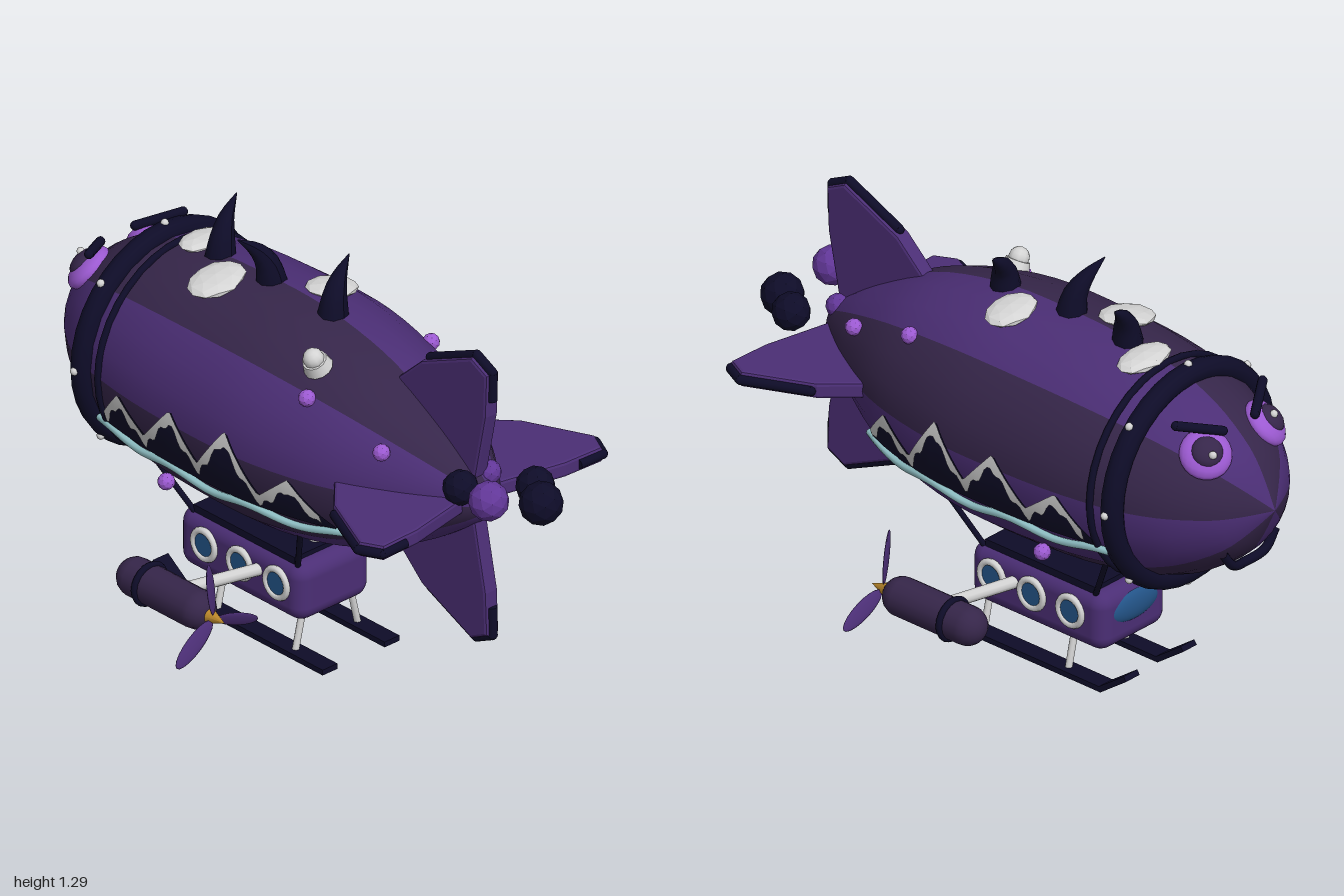
import * as THREE from 'three';
import { RoundedBoxGeometry } from 'three/addons/geometries/RoundedBoxGeometry.js';

const AXIS = 0.76; // height of the envelope's long axis
const V = (x, y, z) => new THREE.Vector3(x, y, z);

function makeMaterials() {
  const colors = {
    purple: 0x4b2e75, duskPurple: 0x36264a, navy: 0x0e0c28, white: 0xd4d4d4, teal: 0x8fbfc4,
    glassBlue: 0x235488, gold: 0xb8862a, smokeViolet: 0x623798, glowViolet: 0x9c5ad2,
  };
  const mats = {};
  for (const [name, color] of Object.entries(colors)) {
    mats[name] = new THREE.MeshStandardMaterial({ color });
    mats[name].name = name;
  }
  return mats;
}

// Envelope profile as (radius, z), nose to tail
const profile = new THREE.SplineCurve([
  [0, -1], [0.095, -0.955], [0.175, -0.9], [0.255, -0.8], [0.305, -0.7], [0.335, -0.6], [0.365, -0.4],
  [0.376, -0.15], [0.37, 0.05], [0.335, 0.25], [0.285, 0.4], [0.205, 0.55], [0.14, 0.65], [0.06, 0.75], [0, 0.78],
].map(([r, z]) => new THREE.Vector2(r, z))).getPoints(42).map((p) => new THREE.Vector2(Math.max(p.x, 0), p.y));

function radiusAt(z) {
  for (let i = 1; i < profile.length; i++) {
    const a = profile[i - 1], b = profile[i];
    if (z <= b.y) return THREE.MathUtils.lerp(a.x, b.x, (z - a.y) / (b.y - a.y));
  }
  return 0;
}

// Point on the envelope's side at height y, lifted by off
function sidePoint(side, y, z, off) {
  const r = radiusAt(z) + off;
  return V(side * Math.sqrt(Math.max(r * r - (y - AXIS) ** 2, 0)), y, z);
}

// Thin skin on the envelope's side between two height curves
function skin(side, z0, z1, low, high, off, n = 76, rows = 4) {
  const pos = [], idx = [];
  for (let i = 0; i <= n; i++) {
    const z = THREE.MathUtils.lerp(z0, z1, i / n);
    for (let j = 0; j <= rows; j++) {
      pos.push(...sidePoint(side, THREE.MathUtils.lerp(low(z), high(z), j / rows), z, off).toArray());
      if (i === n || j === rows) continue;
      const a = i * (rows + 1) + j, b = a + 1, c = a + rows + 1, d = c + 1;
      if (side > 0) idx.push(a, b, c, b, d, c);
      else idx.push(a, c, b, b, c, d);
    }
  }
  const g = new THREE.BufferGeometry();
  g.setAttribute('position', new THREE.Float32BufferAttribute(pos, 3));
  g.setIndex(idx);
  g.computeVertexNormals();
  return g;
}

// Tube narrowing to a point
function hornGeometry(points, radius) {
  const curve = new THREE.CatmullRomCurve3(points), n = 8, sides = 9;
  const g = new THREE.TubeGeometry(curve, n, radius, sides);
  const p = g.attributes.position, v = new THREE.Vector3();
  for (let i = 0; i < p.count; i++) {
    const t = Math.floor(i / (sides + 1)) / n;
    v.fromBufferAttribute(p, i).lerp(curve.getPointAt(t), t ** 1.4 * 0.97);
    p.setXYZ(i, v.x, v.y, v.z);
  }
  g.computeVertexNormals();
  return g;
}

// Faceted ball
function ballGeometry(r) {
  const g = new THREE.IcosahedronGeometry(r, 1);
  g.computeVertexNormals();
  return g;
}

export function createModel() {
  const m = makeMaterials();
  const model = new THREE.Group();
  model.name = 'airship';
  const ship = new THREE.Group();
  ship.name = 'airshipBody';
  ship.position.x = -0.0125;
  model.add(ship);

  const add = (name, geo, mat, pos = V(0, 0, 0), parent = ship) => {
    const mesh = new THREE.Mesh(geo, mat);
    mesh.name = name;
    mesh.position.copy(pos);
    parent.add(mesh);
    return mesh;
  };
  const rod = (name, a, b, r, mat, parent = ship) => {
    const d = b.clone().sub(a);
    const mesh = add(name, new THREE.CylinderGeometry(r, r, d.length(), 10), mat, a.clone().add(b).multiplyScalar(0.5), parent);
    mesh.quaternion.setFromUnitVectors(V(0, 1, 0), d.normalize());
    return mesh;
  };
  const tube = (name, pts, r, mat, n = 24) => add(name, new THREE.TubeGeometry(new THREE.CatmullRomCurve3(pts), n, r, 8), mat);

  // Envelope in eight alternating panels
  for (let i = 0; i < 8; i++) {
    const g = new THREE.LatheGeometry(profile, 3, i * Math.PI / 4, Math.PI / 4).rotateX(Math.PI / 2);
    add('envelopePanel', g, i % 2 ? m.purple : m.duskPurple, V(0, AXIS, 0));
  }

  // Collar bands and studs
  add('collarBand', new THREE.TorusGeometry(0.332, 0.036, 10, 36), m.navy, V(0, AXIS, -0.65));
  add('thinBand', new THREE.TorusGeometry(0.344, 0.011, 8, 36), m.navy, V(0, AXIS, -0.57));
  for (let i = 0; i < 8; i++) {
    const a = i * Math.PI / 4;
    add('collarStud', new THREE.SphereGeometry(0.013, 8, 6), m.white, V(0.365 * Math.cos(a), AXIS + 0.365 * Math.sin(a), -0.65));
  }

  // Four tail fins with edge trims
  const finShape = new THREE.Shape([[0.36, 0.24], [0.5, 0.37], [0.71, 0.465], [0.77, 0.435], [0.765, 0.3], [0.72, 0.08], [0.55, 0.1]]
    .map(([z, r]) => new THREE.Vector2(z, r)));
  const finGeo = new THREE.ExtrudeGeometry(finShape, { depth: 0.032, bevelThickness: 0.01, bevelSize: 0.01, bevelSegments: 2 })
    .translate(0, 0, -0.016).rotateY(-Math.PI / 2);
  const trim = [V(0, 0.388, 0.51), V(0, 0.478, 0.71), V(0, 0.445, 0.778), V(0, 0.35, 0.776)];
  for (let k = 0; k < 4; k++) {
    const fin = new THREE.Group();
    fin.name = 'tailFin';
    fin.position.y = AXIS;
    fin.rotation.z = k * Math.PI / 2;
    ship.add(fin);
    add('finBlade', finGeo, m.purple, V(0, 0, 0), fin);
    for (let i = 0; i < 3; i++) {
      rod('finTrim', trim[i], trim[i + 1], 0.016, m.navy, fin);
      add('finTrimJoint', new THREE.SphereGeometry(0.016, 8, 6), m.navy, trim[i], fin);
    }
  }

  // Smoke puffs behind the tail
  for (const [x, y, z, r, mat] of [
    [-0.105, 0.85, 0.875, 0.062, m.smokeViolet], [0.12, 0.8, 0.835, 0.06, m.navy], [0.06, 0.8, 0.925, 0.068, m.navy],
    [-0.075, 0.82, 0.72, 0.055, m.navy], [0.04, 0.83, 0.72, 0.038, m.smokeViolet],
  ]) add('smokePuff', ballGeometry(r), mat, V(x, y, z));

  // Horns along the spine, leaning to alternate sides
  [[0.07, 1, 1.265], [-0.19, -1, 1.285], [-0.42, 1, 1.27]].forEach(([z, s, top]) => {
    const base = AXIS + radiusAt(z) - 0.03;
    add('spineHorn', hornGeometry([V(0, base, z + 0.01), V(s * 0.015, base + 0.08, z + 0.005),
      V(s * 0.045, top - 0.05, z - 0.01), V(s * 0.105, top, z - 0.03)], 0.05), m.navy);
  });

  // Pale patches and a barnacle lying on the top
  const onTop = (mesh, x) => mesh.quaternion.setFromUnitVectors(V(0, 1, 0), V(x, 0.37, 0).normalize());
  for (const [x, z, sx, sz] of [[0.04, -0.51, 0.1, 0.062], [-0.11, -0.305, 0.098, 0.078], [0.105, -0.035, 0.09, 0.07]]) {
    const r = radiusAt(z);
    const patch = add('palePatch', ballGeometry(1), m.white, V(x, AXIS + Math.sqrt(r * r - x * x) + 0.002, z));
    patch.scale.set(sx, 0.022, sz);
    onTop(patch, x * 0.6);
  }
  const barnacle = new THREE.Group();
  barnacle.name = 'barnacle';
  barnacle.position.set(-0.175, 1.06, 0.205);
  onTop(barnacle, -0.2);
  ship.add(barnacle);
  add('barnacleBase', new THREE.CylinderGeometry(0.038, 0.046, 0.035, 12), m.white, V(0, 0.01, 0), barnacle);
  add('barnacleDome', new THREE.SphereGeometry(0.033, 10, 8), m.white, V(0, 0.035, 0), barnacle);

  // Mountain outline as (z, height)
  const ridge = [[0.38, 0.62], [0.257, 0.755], [0.145, 0.66], [0.02, 0.835], [-0.097, 0.68],
    [-0.215, 0.81], [-0.338, 0.67], [-0.455, 0.76], [-0.575, 0.62]];
  const ridgeAt = (z) => {
    for (let i = 1; i < ridge.length; i++) {
      const [z0, y0] = ridge[i - 1], [z1, y1] = ridge[i];
      if (z >= z1) return THREE.MathUtils.lerp(y0, y1, (z0 - z) / (z0 - z1));
    }
    return 0.62;
  };
  const snowLine = (z) => Math.max(0.615, ridgeAt(z) - 0.036 - 0.012 * Math.sin(z * 105));

  for (const s of [-1, 1]) {
    // Side mountains, snow and river line
    add('mountains', skin(s, -0.575, 0.38, () => 0.61, ridgeAt, 0.008), m.navy);
    add('mountainSnow', skin(s, -0.54, 0.35, snowLine, (z) => ridgeAt(z) + 0.004, 0.015), m.white);
    const river = [];
    for (let i = 0; i <= 24; i++) {
      const z = 0.41 - i * 1.02 / 24;
      river.push(sidePoint(s, 0.588 + 0.011 * Math.cos((0.41 - z) * 19), z, 0.008));
    }
    tube('riverLine', river, 0.012, m.teal, 60);

    // Glowing spots
    for (const [x, y, z] of [[0.25, 0.993, 0.24], [0.2, 0.9, 0.51], [0.29, 0.49, -0.33]]) {
      add('glowSpot', ballGeometry(0.027), m.glowViolet, V(s * x, y, z));
    }

    // Eyes and brows
    const eye = new THREE.Group();
    eye.name = 'eye';
    eye.position.set(s * 0.13, 0.945, -0.84);
    eye.quaternion.setFromUnitVectors(V(0, 0, 1), V(s * 0.42, 0.68, -0.6).normalize());
    ship.add(eye);
    add('eyeball', new THREE.SphereGeometry(0.08, 18, 12), m.glowViolet, V(0, 0, 0), eye).scale.z = 0.5;
    add('pupil', new THREE.SphereGeometry(0.048, 16, 10), m.duskPurple, V(0, 0, 0.028), eye).scale.z = 0.5;
    add('eyeGlint', new THREE.SphereGeometry(0.013, 8, 6), m.white, V(0.015, 0.015, 0.05), eye);
    const brow = [V(s * 0.07, 1.005, -0.855), V(s * 0.19, 1.04, -0.775)];
    rod('brow', brow[0], brow[1], 0.015, m.navy);
    for (const p of brow) add('browEnd', new THREE.SphereGeometry(0.015, 8, 6), m.navy, p);

    // Rigging from cabin to envelope
    rod('rigging', V(s * 0.12, 0.3, -0.39), V(s * 0.21, 0.52, -0.525), 0.009, m.navy);
    rod('rigging', V(s * 0.12, 0.3, 0.06), V(s * 0.21, 0.52, 0.17), 0.009, m.navy);

    // Portholes
    for (const z of [0, -0.16, -0.315]) {
      add('portholeRing', new THREE.TorusGeometry(0.046, 0.011, 8, 20).rotateY(Math.PI / 2), m.white, V(s * 0.151, 0.228, z));
      add('portholeGlass', new THREE.CylinderGeometry(0.044, 0.044, 0.016, 18).rotateZ(Math.PI / 2), m.glassBlue, V(s * 0.147, 0.228, z));
    }

    // Landing skids
    add('skid', new THREE.BoxGeometry(0.06, 0.018, 0.645), m.navy, V(s * 0.125, 0.009, -0.117));
    add('skidTip', new THREE.BoxGeometry(0.06, 0.018, 0.125), m.navy, V(s * 0.125, 0.045, -0.487)).rotation.x = 0.62;
    for (const z of [0.055, -0.285]) rod('skidStrut', V(s * 0.098, 0.13, z), V(s * 0.125, 0.015, z), 0.011, m.white);

    // Engine with arm and propeller
    const engine = new THREE.Group();
    engine.name = 'engine';
    engine.position.set(s * 0.505, 0.29, 0);
    ship.add(engine);
    rod('engineArm', V(s * 0.13, 0.235, -0.085), V(s * 0.46, 0.288, -0.085), 0.02, m.white);
    add('engineBody', new THREE.CapsuleGeometry(0.062, 0.26, 6, 16).rotateX(Math.PI / 2), m.duskPurple, V(0, 0, -0.097), engine);
    add('engineBand', new THREE.TorusGeometry(0.062, 0.011, 8, 20), m.navy, V(0, 0, -0.17), engine);
    add('spinner', new THREE.ConeGeometry(0.024, 0.065, 10).rotateX(Math.PI / 2), m.gold, V(0, 0, 0.125), engine);
    for (let i = 0; i < 3; i++) {
      const blade = new THREE.SphereGeometry(1, 12, 10).scale(0.027, 0.09, 0.006).rotateY(0.45).translate(0, 0.1, 0);
      add('propellerBlade', blade, m.purple, V(0, 0, 0.11), engine).rotation.z = 0.13 + i * Math.PI * 2 / 3;
    }
  }

  // Mouth
  tube('mouth', [V(-0.115, 0.62, -0.895), V(-0.07, 0.565, -0.895), V(0, 0.545, -0.88), V(0.07, 0.565, -0.895), V(0.115, 0.62, -0.895)], 0.015, m.navy);

  // Cabin, roof, neck and windscreen
  add('cabin', new RoundedBoxGeometry(0.296, 0.195, 0.54, 4, 0.05), m.purple, V(0, 0.212, -0.17));
  add('cabinRoof', new THREE.BoxGeometry(0.25, 0.04, 0.44), m.navy, V(0, 0.305, -0.17));
  rod('cabinNeck', V(0, 0.3, 0.01), V(0, 0.41, 0.01), 0.022, m.white);
  add('windscreen', new THREE.SphereGeometry(1, 18, 12), m.glassBlue, V(0, 0.235, -0.43)).scale.set(0.11, 0.05, 0.022);

  return model;
}
